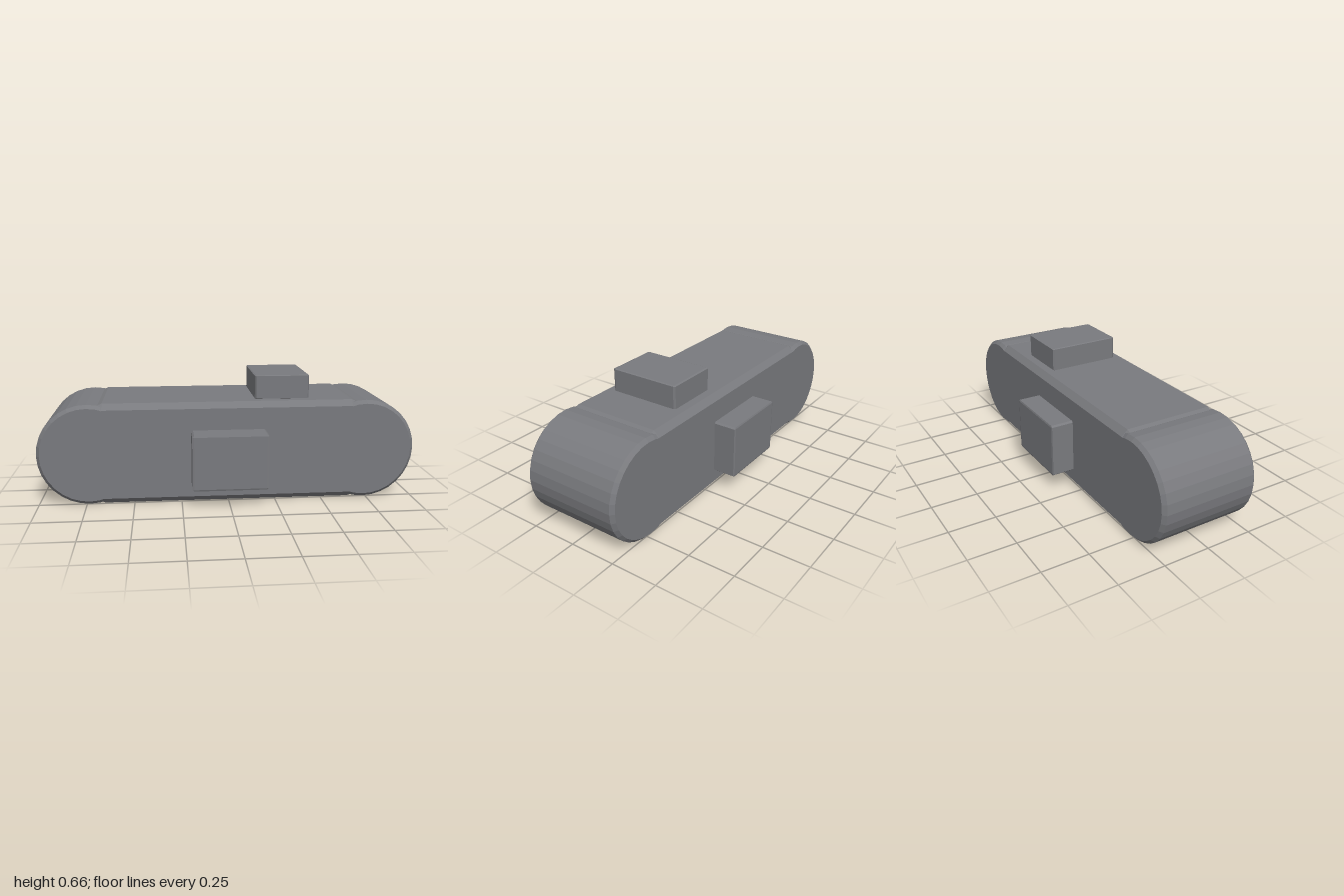
import * as THREE from 'three';
import { ConvexGeometry } from 'three/addons/geometries/ConvexGeometry.js';

const material = new THREE.MeshStandardMaterial({ color: 0x797a7e, flatShading: true });

// Box with every edge chamfered; size and chamfer are given per axis.
function chamferedBox(name, size, chamfer, position) {
  const half = size.map((s) => s / 2);
  const points = [];
  for (const sx of [-1, 1]) for (const sy of [-1, 1]) for (const sz of [-1, 1]) {
    const sign = [sx, sy, sz];
    for (let face = 0; face < 3; face++) {
      const p = half.map((h, i) => sign[i] * (i === face ? h : h - chamfer[i]));
      points.push(new THREE.Vector3(...p));
    }
  }
  const mesh = new THREE.Mesh(new ConvexGeometry(points), material);
  mesh.name = name;
  mesh.position.set(...position);
  return mesh;
}

// Faceted drum lying along z, with chamfered rims.
function drum(name, x) {
  const r = 0.267, h = 0.268, c = 0.018;
  const profile = [[0, -h], [r - c, -h], [r, -h + c], [r, h - c], [r - c, h], [0, h]];
  const geometry = new THREE.LatheGeometry(profile.map((p) => new THREE.Vector2(...p)), 32);
  geometry.rotateY(Math.PI / 2).rotateX(Math.PI / 2);
  const mesh = new THREE.Mesh(geometry, material);
  mesh.name = name;
  mesh.position.set(x, 0.268, 0);
  return mesh;
}

export function createModel() {
  const group = new THREE.Group();
  group.name = 'roundedBlock';

  // Long body with a rounded drum at each end
  group.add(chamferedBox('body', [1.466, 0.537, 0.536], [0.078, 0.031, 0.031], [0, 0.2685, 0]));
  group.add(drum('leftEnd', 0.733), drum('rightEnd', -0.733));

  // Raised pads on the front and back
  for (const side of [1, -1]) {
    group.add(chamferedBox(side > 0 ? 'frontPad' : 'backPad',
      [0.394, 0.293, 0.126], [0.01, 0.008, 0.003], [-0.001, 0.246, side * 0.331]));
  }

  // Off-centre pad on top
  group.add(chamferedBox('topPad', [0.29, 0.126, 0.39], [0.007, 0.003, 0.01], [0.29, 0.6, 0]));

  return group;
}
